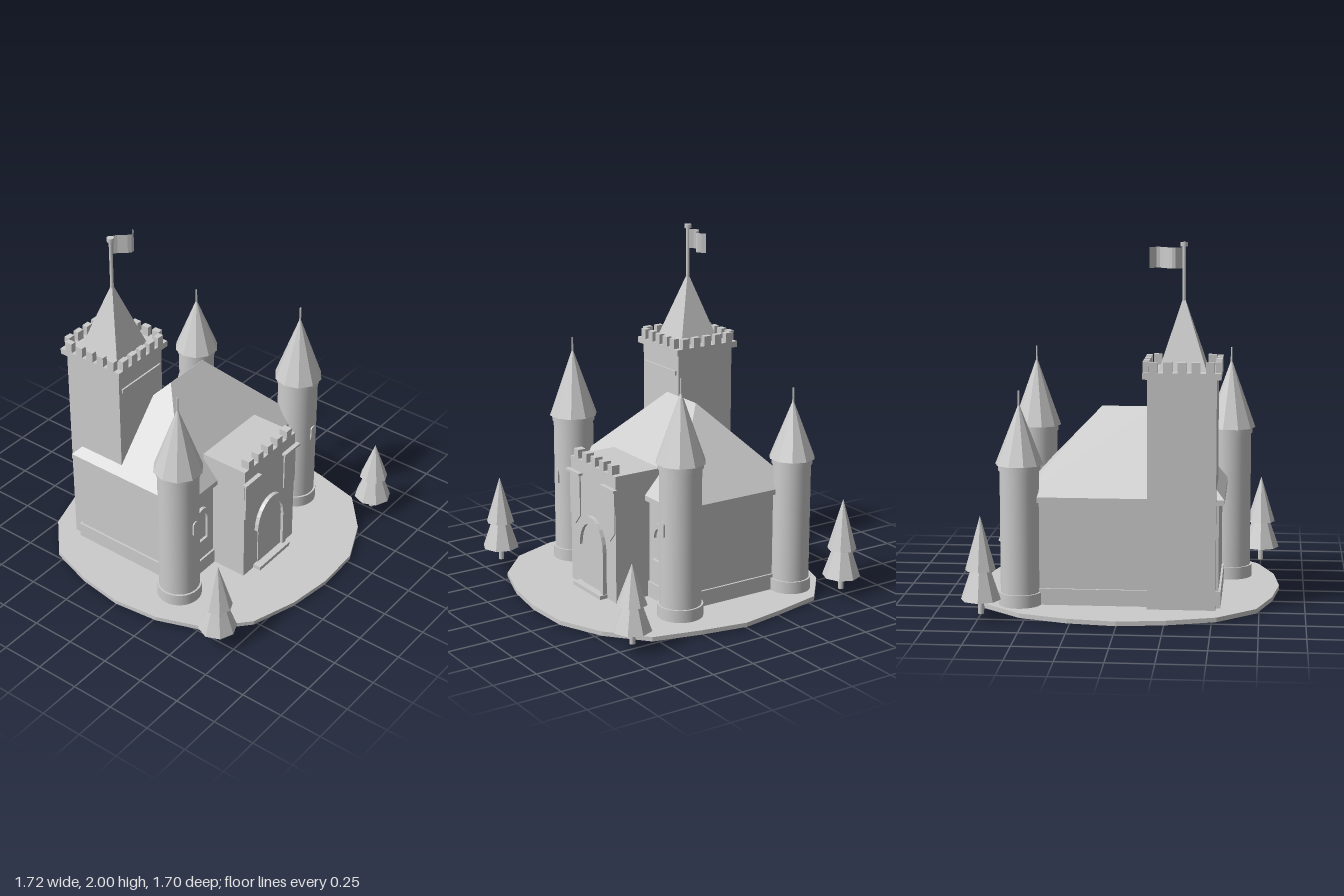
import * as THREE from 'three';

export function createModel() {
  const root = new THREE.Group();
  root.name = 'castle';
  const stone = new THREE.MeshStandardMaterial({ color: 0xcccccc, side: THREE.DoubleSide });
  stone.name = 'paleStone';

  const group = (name, x = 0, y = 0, z = 0, parent = root) => {
    const g = new THREE.Group();
    g.name = name;
    g.position.set(x, y, z);
    parent.add(g);
    return g;
  };
  const add = (parent, name, geometry, x = 0, y = 0, z = 0) => {
    const m = new THREE.Mesh(geometry, stone);
    m.name = name;
    m.position.set(x, y, z);
    parent.add(m);
    return m;
  };
  const faceted = (geometry) => {
    const g = geometry.toNonIndexed();
    g.computeVertexNormals();
    return g;
  };
  // box from its limits
  const block = (parent, name, x0, x1, y0, y1, z0, z1) =>
    add(parent, name, new THREE.BoxGeometry(x1 - x0, y1 - y0, z1 - z0), (x0 + x1) / 2, (y0 + y1) / 2, (z0 + z1) / 2);
  // upright cylinder or cone from y0 to y1
  const round = (parent, name, rTop, rBottom, y0, y1, sides, flat = false, turn = 0) => {
    let g = new THREE.CylinderGeometry(rTop, rBottom, y1 - y0, sides);
    g.rotateY(turn);
    if (flat) g = faceted(g);
    return add(parent, name, g, 0, (y0 + y1) / 2, 0);
  };
  const extrude = (shape, depth) =>
    new THREE.ExtrudeGeometry(shape, { depth, bevelEnabled: false, curveSegments: 10 });
  // outline of an upright panel with a rounded top
  const archPoints = (halfWidth, bottom, spring, top) => {
    const pts = [[-halfWidth, bottom], [halfWidth, bottom]];
    for (let i = 0; i <= 12; i++) {
      const a = (i / 12) * Math.PI;
      pts.push([halfWidth * Math.cos(a), spring + (top - spring) * Math.sin(a)]);
    }
    return pts.map(([x, y]) => new THREE.Vector2(x, y));
  };
  const archFrame = (outer, inner) =>
    new THREE.Shape([...archPoints(...outer).slice(1), ...archPoints(...inner).slice(1).reverse(),
      new THREE.Vector2(-outer[0], outer[1])].filter((p, i, all) => i === 0 || !p.equals(all[i - 1])));

  // irregular twenty-sided ground plate
  const radii = [0.845, 0.875, 0.89, 0.91, 0.845, 0.85, 0.848, 0.922, 0.9, 0.857,
    0.85, 0.853, 0.898, 0.91, 0.864, 0.86, 0.873, 0.905, 0.893, 0.85];
  const plate = extrude(new THREE.Shape(radii.map((r, i) => {
    const a = (i / 20) * Math.PI * 2;
    return new THREE.Vector2(r * Math.sin(a), -r * Math.cos(a));
  })), 0.025);
  plate.rotateX(-Math.PI / 2);
  add(root, 'groundPlate', plate, 0, 0.005, 0);

  // main hall with hipped roof
  const hall = group('mainHall');
  block(hall, 'hallWalls', -0.53, 0.515, 0.03, 0.61, -0.525, 0.225);
  block(hall, 'hallPlinth', -0.542, 0.527, 0.03, 0.12, -0.537, 0.237);
  block(hall, 'eaves', -0.56, 0.545, 0.6, 0.63, -0.555, 0.255);
  const roof = new THREE.BoxGeometry(1, 1, 1);
  const p = roof.attributes.position;
  for (let i = 0; i < p.count; i++) {
    const right = p.getX(i) > 0, front = p.getZ(i) > 0;
    if (p.getY(i) > 0) p.setXYZ(i, right ? 0.135 : -0.155, 1.075, front ? -0.147 : -0.149);
    else p.setXYZ(i, right ? 0.545 : -0.56, 0.63, front ? 0.255 : -0.555);
  }
  add(hall, 'hippedRoof', faceted(roof));
  for (const x of [-0.367, 0.347]) {
    const win = group('archedWindow', x, 0, 0.225, hall);
    add(win, 'windowFrame', extrude(archFrame([0.068, 0.27, 0.41, 0.495], [0.042, 0.27, 0.4, 0.462]), 0.02));
    add(win, 'windowPane', extrude(new THREE.Shape(archPoints(0.042, 0.27, 0.4, 0.462)), 0.004));
  }

  // round corner towers
  const towers = [
    { x: -0.574, z: 0.235, top: 0.905, tip: 1.29, spike: 1.365, r: 0.116, slit: true },
    { x: 0.552, z: 0.235, top: 0.905, tip: 1.29, spike: 1.365, r: 0.116, slit: true },
    { x: 0.552, z: -0.515, top: 0.805, tip: 1.13, spike: 1.205, r: 0.107, slit: false },
  ];
  for (const t of towers) {
    const g = group('roundTower', t.x, 0, t.z);
    round(g, 'towerShaft', t.r, t.r, 0.03, t.top, 32);
    round(g, 'towerBase', t.r + 0.011, t.r + 0.011, 0.03, 0.1, 32);
    round(g, 'towerCollar', t.r + 0.008, t.r + 0.008, t.top - 0.032, t.top, 32);
    round(g, 'towerRoof', 0.003, t.r + 0.024, t.top, t.tip, 10, true, Math.PI / 2);
    round(g, 'towerSpike', 0.005, 0.006, t.tip - 0.03, t.spike, 8);
    if (t.slit) add(g, 'slitWindow', extrude(new THREE.Shape(archPoints(0.021, 0.505, 0.57, 0.59)), 0.009), 0, 0, t.r - 0.003);
  }

  // square keep tower with battlements, spire and flag
  const keep = group('squareKeep', -0.331, 0, -0.405);
  block(keep, 'keepWalls', -0.185, 0.185, 0.03, 1.29, -0.186, 0.186);
  block(keep, 'keepCornice', -0.209, 0.209, 1.285, 1.32, -0.21, 0.21);
  block(keep, 'keepBand', -0.163, 0.163, 1.16, 1.185, 0.18, 0.196);
  for (let side = 0; side < 4; side++) {
    const row = group('battlementRow', 0, 0, 0, keep);
    row.rotation.y = (side * Math.PI) / 2;
    for (let i = -2; i <= 2; i++) {
      block(row, 'merlon', i * 0.075 - 0.023, i * 0.075 + 0.023, 1.32, 1.377, 0.177, 0.21);
    }
  }
  round(keep, 'keepSpire', 0.012, 0.182, 1.32, 1.69, 4, true, Math.PI / 4);
  round(keep, 'flagPole', 0.01, 0.01, 1.67, 1.98, 10);
  round(keep, 'poleCap', 0.02, 0.02, 1.977, 2, 10);
  const flag = new THREE.PlaneGeometry(0.175, 0.112, 10, 1);
  const fp = flag.attributes.position;
  for (let i = 0; i < fp.count; i++) {
    fp.setZ(i, -0.036 * Math.sin((fp.getX(i) / 0.175 + 0.5) * Math.PI * 2));
  }
  add(keep, 'flag', faceted(flag), 0.098, 1.916, 0);

  // gatehouse with door, step and banners
  const gate = group('gatehouse', -0.01, 0, 0);
  block(gate, 'gateWalls', -0.24, 0.24, 0.03, 0.77, 0.156, 0.446);
  for (let i = -2; i <= 2; i++) {
    block(gate, 'gateMerlon', i * 0.09 - 0.024, i * 0.09 + 0.024, 0.77, 0.822, 0.396, 0.446);
  }
  add(gate, 'doorFrame', extrude(archFrame([0.139, 0.03, 0.3, 0.475], [0.11, 0.03, 0.28, 0.43]), 0.024), 0, 0, 0.446);
  add(gate, 'door', extrude(new THREE.Shape(archPoints(0.11, 0.03, 0.28, 0.43)), 0.006), 0, 0, 0.446);
  block(gate, 'doorStep', -0.145, 0.145, 0, 0.052, 0.43, 0.495);
  for (const side of [-1, 1]) {
    const banner = group('banner', side * 0.185, 0, 0.446, gate);
    add(banner, 'bannerCloth', extrude(new THREE.Shape([
      [-0.053, 0.69], [-0.053, 0.44], [0, 0.38], [0.053, 0.44], [0.053, 0.69],
    ].map(([x, y]) => new THREE.Vector2(x, y))), 0.008));
    block(banner, 'bannerRod', -0.072, 0.072, 0.683, 0.697, 0, 0.026);
  }

  // two-tier fir trees
  for (const [x, z, top] of [[-0.75, 0.64, 0.535], [0.748, 0.67, 0.477], [0.732, -0.745, 0.562]]) {
    const tree = group('firTree', x, 0, z);
    const mid = 0.265 + (top - 0.53) * 0.2;
    round(tree, 'trunk', 0.016, 0.016, 0.03, 0.13, 8);
    round(tree, 'lowerBranches', 0.04, 0.108, 0.11, mid + 0.04, 8, true);
    round(tree, 'upperBranches', 0.001, 0.083, mid, top, 8, true);
  }
  return root;
}
